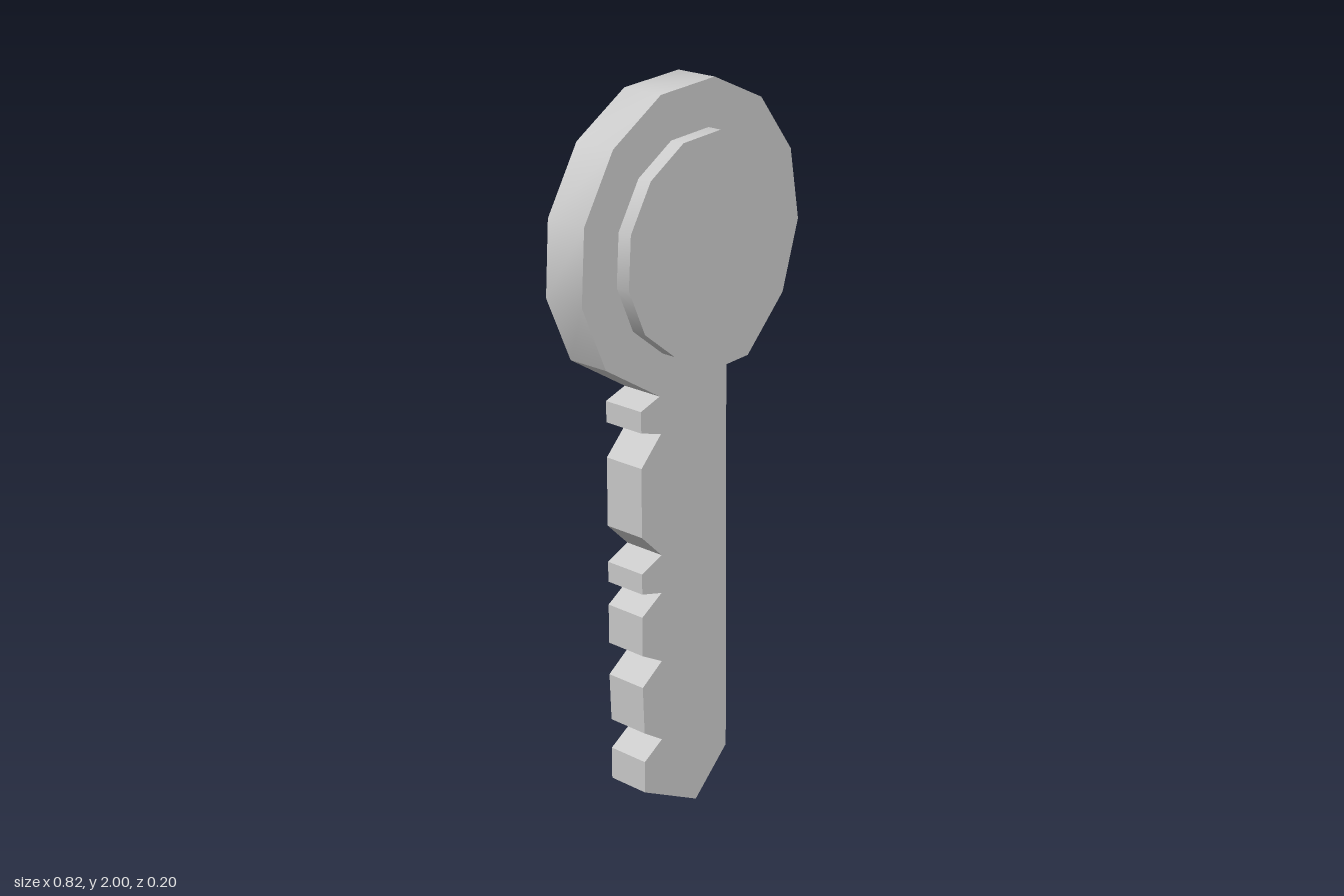
import * as THREE from 'three';
import { toCreasedNormals } from 'three/addons/utils/BufferGeometryUtils.js';

const SIDES = 13, HEAD_Y = 1.592;

// Corner k of the 13-sided head, counted clockwise from the top
function corner(k, radius) {
  const a = THREE.MathUtils.degToRad(79.6) - (k * 2 * Math.PI) / SIDES;
  return [radius * Math.cos(a), HEAD_Y + radius * Math.sin(a)];
}

// Plate with the given outline, centred on z = 0
function plate(name, points, thickness) {
  const shape = new THREE.Shape(points.map(([x, y]) => new THREE.Vector2(x, y)));
  const geo = new THREE.ExtrudeGeometry(shape, { depth: thickness, bevelEnabled: false });
  geo.translate(0, 0, -thickness / 2);
  const mesh = new THREE.Mesh(
    toCreasedNormals(geo, THREE.MathUtils.degToRad(32)),
    new THREE.MeshStandardMaterial({ color: 0xcccccc })
  );
  mesh.name = name;
  return mesh;
}

export function createModel() {
  const key = new THREE.Group();
  key.name = 'key';

  // Head, shaft and pointed tip share one outline
  const outline = [];
  for (let k = 0; k <= 5; k++) outline.push(corner(k, 0.412));
  outline.push([0.127, 1.236], [0.138, 0.119], [0.013, 0], [-0.193, 0.108]);

  // Teeth: lower edge, notch bottom and upper edge heights
  const notches = [
    [0.2, 0.241, 0.286],
    [0.423, 0.474, 0.516],
    [0.627, 0.672, 0.693],
    [0.75, 0.78, 0.852],
    [1.042, 1.116, 1.138],
  ];
  notches.forEach(([low, mid, high], i) => {
    const edge = i === 0 ? -0.193 : -0.199;
    outline.push([edge, low], [-0.125, mid], [edge, high]);
  });
  outline.push([-0.2, 1.196], [-0.13, 1.218]);
  for (let k = 8; k < SIDES; k++) outline.push(corner(k, 0.412));
  key.add(plate('keyBlade', outline, 0.12));

  // Raised disc showing on both faces of the head
  const disc = [];
  for (let k = 0; k < SIDES; k++) disc.push(corner(k, 0.288));
  key.add(plate('headDisc', disc, 0.2));

  return key;
}
